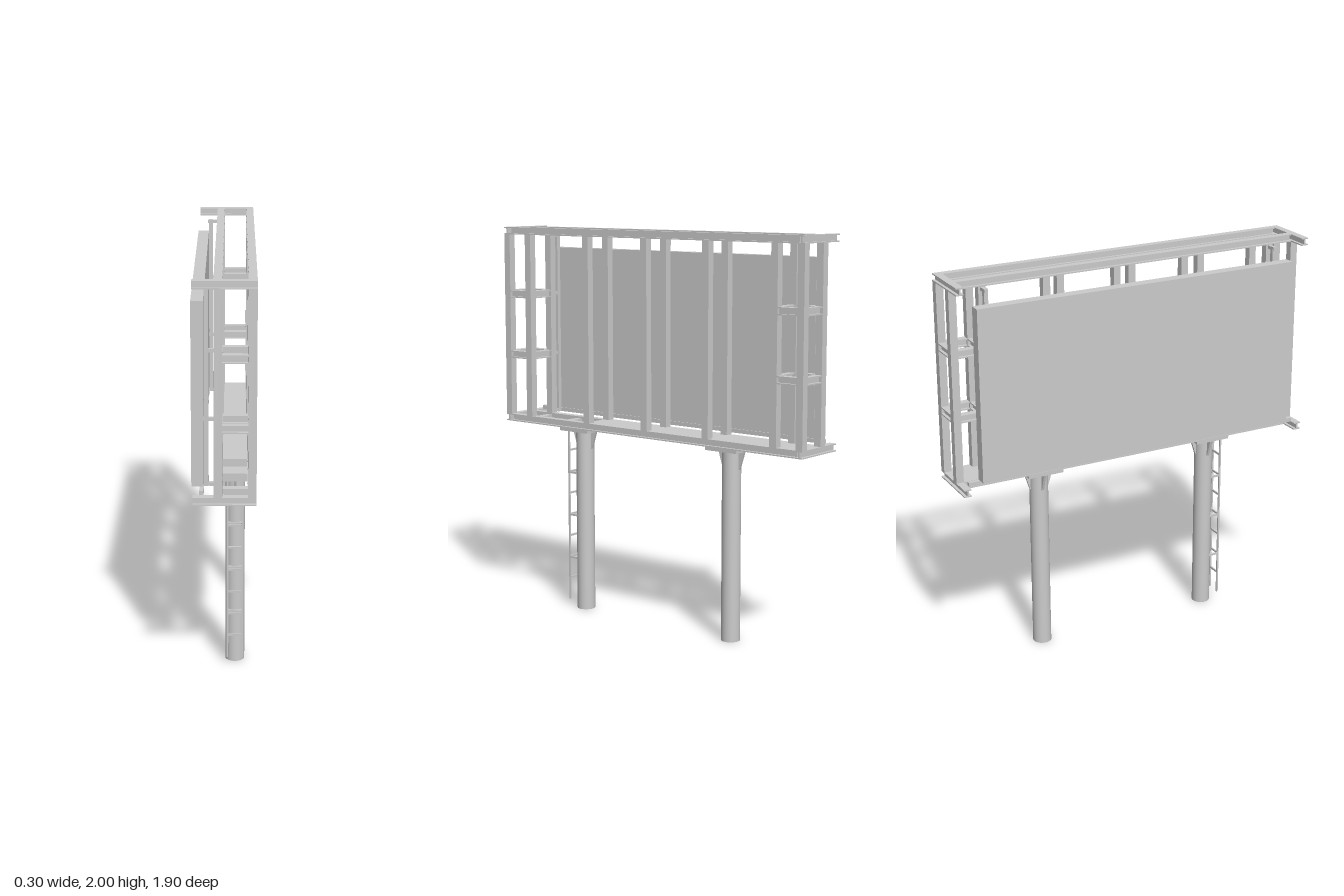
import * as THREE from 'three';

export function createModel() {
  const model = new THREE.Group();
  const mat = new THREE.MeshStandardMaterial({ color: 0xcccccc });
  const openMat = new THREE.MeshStandardMaterial({ color: 0xcccccc, side: THREE.DoubleSide });

  // Box given by its min and max on each axis
  function box(name, x0, x1, y0, y1, z0, z1) {
    const m = new THREE.Mesh(new THREE.BoxGeometry(x1 - x0, y1 - y0, z1 - z0), mat);
    m.position.set((x0 + x1) / 2, (y0 + y1) / 2, (z0 + z1) / 2);
    m.name = name;
    model.add(m);
  }

  // Flanged beam with the H section, running along its longest side
  function beam(name, x0, x1, y0, y1, z0, z1) {
    const alongX = x1 - x0 > z1 - z0;
    const length = alongX ? x1 - x0 : z1 - z0;
    const w = (alongX ? z1 - z0 : x1 - x0) / 2, t = (y1 - y0) / 2;
    const f = t - 0.006, web = 0.004;
    const half = [[w, -t], [w, -f], [web, -f], [web, f], [w, f], [w, t]];
    const mirrored = half.map(([x, y]) => [-x, -y]);
    const shape = new THREE.Shape([...half, ...mirrored].map(p => new THREE.Vector2(...p)));
    const geo = new THREE.ExtrudeGeometry(shape, { depth: length, bevelEnabled: false });
    geo.translate(0, 0, -length / 2);
    if (alongX) geo.rotateY(Math.PI / 2);
    const m = new THREE.Mesh(geo, mat);
    m.position.set((x0 + x1) / 2, (y0 + y1) / 2, (z0 + z1) / 2);
    m.name = name;
    model.add(m);
  }

  const h = 0.019; // half thickness of frame beams
  const planes = [[-0.045, -0.007], [0.109, 0.147]]; // board side, open side
  const levels = [1.33, 1.65];

  // Two upright frames: long rails, posts and short end rails
  for (const [a, b] of planes) {
    beam('topRail', a, b, 1.962, 2, -0.912, 0.912);
    beam('bottomRail', a, b, 0.972, 1.01, -0.912, 0.912);
    for (const z of [-0.931, -0.783, -0.383, 0, 0.383, 0.783, 0.931])
      box('framePost', a, b, 1.01, 1.962, z - h, z + h);
    for (const s of [-1, 1])
      for (const y of levels)
        beam('endRail', a, b, y - h, y + h, s * 0.857 - 0.056, s * 0.857 + 0.056);
  }

  for (const s of [-1, 1]) {
    // End beams that reach out past the board
    for (const y of [0.972, 1.962])
      beam('endBeam', -0.14, 0.147, y, y + 2 * h, s * 0.931 - h, s * 0.931 + h);
    // Cross beams of the end towers
    for (const z of [0.783, 0.931])
      for (const y of levels)
        beam('towerCrossBeam', -0.007, 0.109, y - h, y + h, s * z - h, s * z + h);
    // Hanger upright and its brackets behind the board
    const z = s * 0.783;
    box('boardHanger', -0.091, -0.07, 1.01, 1.962, z - 0.01, z + 0.01);
    for (const y of [1.02, ...levels, 1.952])
      box('hangerBracket', -0.095, -0.045, y - 0.008, y + 0.008, z - 0.009, z + 0.009);
  }

  // Display board and the ledge below it
  box('board', -0.148, -0.092, 1.031, 1.89, -0.855, 0.855);
  box('boardLedge', -0.111, -0.091, 1.01, 1.03, -0.912, 0.912);

  // Walkway floor with an opening above the ladder
  box('walkwayFloor', -0.007, 0.109, 1.0, 1.01, -0.912, 0.4);
  for (const z of [-0.57, -0.383, -0.19, 0, 0.19, 0.383, 0.57, 0.783])
    box('floorJoist', -0.007, 0.109, 0.972, 1.0, z - h, z + h);

  // Poles, open at the foot, with head plates and gussets
  const px = 0.051, pr = 0.047;
  const gusset = new THREE.Shape([
    new THREE.Vector2(pr - 0.01, 0.86), new THREE.Vector2(pr + 0.003, 0.86),
    new THREE.Vector2(0.08, 0.955), new THREE.Vector2(pr - 0.01, 0.955)
  ]);
  const gussetGeo = new THREE.ExtrudeGeometry(gusset, { depth: 0.012, bevelEnabled: false });
  gussetGeo.translate(0, 0, -0.006);
  for (const z of [-0.476, 0.476]) {
    const pole = new THREE.Mesh(new THREE.CylinderGeometry(pr, pr, 0.955, 32, 1, true), openMat);
    pole.position.set(px, 0.4775, z);
    pole.name = 'pole';
    model.add(pole);
    box('headPlate', -0.043, 0.143, 0.955, 0.972, z - 0.094, z + 0.094);
    for (let i = 1; i < 4; i++) {
      const g = new THREE.Mesh(gussetGeo, mat);
      g.position.set(px, 0, z);
      g.rotation.y = i * Math.PI / 2;
      g.name = 'gusset';
      model.add(g);
    }
  }

  // Ladder on the front pole
  for (const s of [-1, 1]) {
    const x = px + s * 0.036;
    box('ladderRail', x - 0.004, x + 0.004, 0.04, 0.955, 0.553, 0.562);
    for (const y of [0.27, 0.5, 0.727])
      box('ladderBracket', x - 0.004, x + 0.004, y - 0.005, y + 0.005, 0.5, 0.555);
  }
  for (let i = 0; i < 7; i++) {
    const y = 0.157 + i * 0.1145;
    box('ladderRung', px - 0.036, px + 0.036, y - 0.005, y + 0.005, 0.554, 0.561);
  }
  // Clamp bars tying the brackets to the pole
  for (const y of [0.27, 0.5, 0.727])
    box('ladderClamp', px - 0.036, px + 0.036, y - 0.005, y + 0.005, 0.505, 0.53);

  return model;
}
